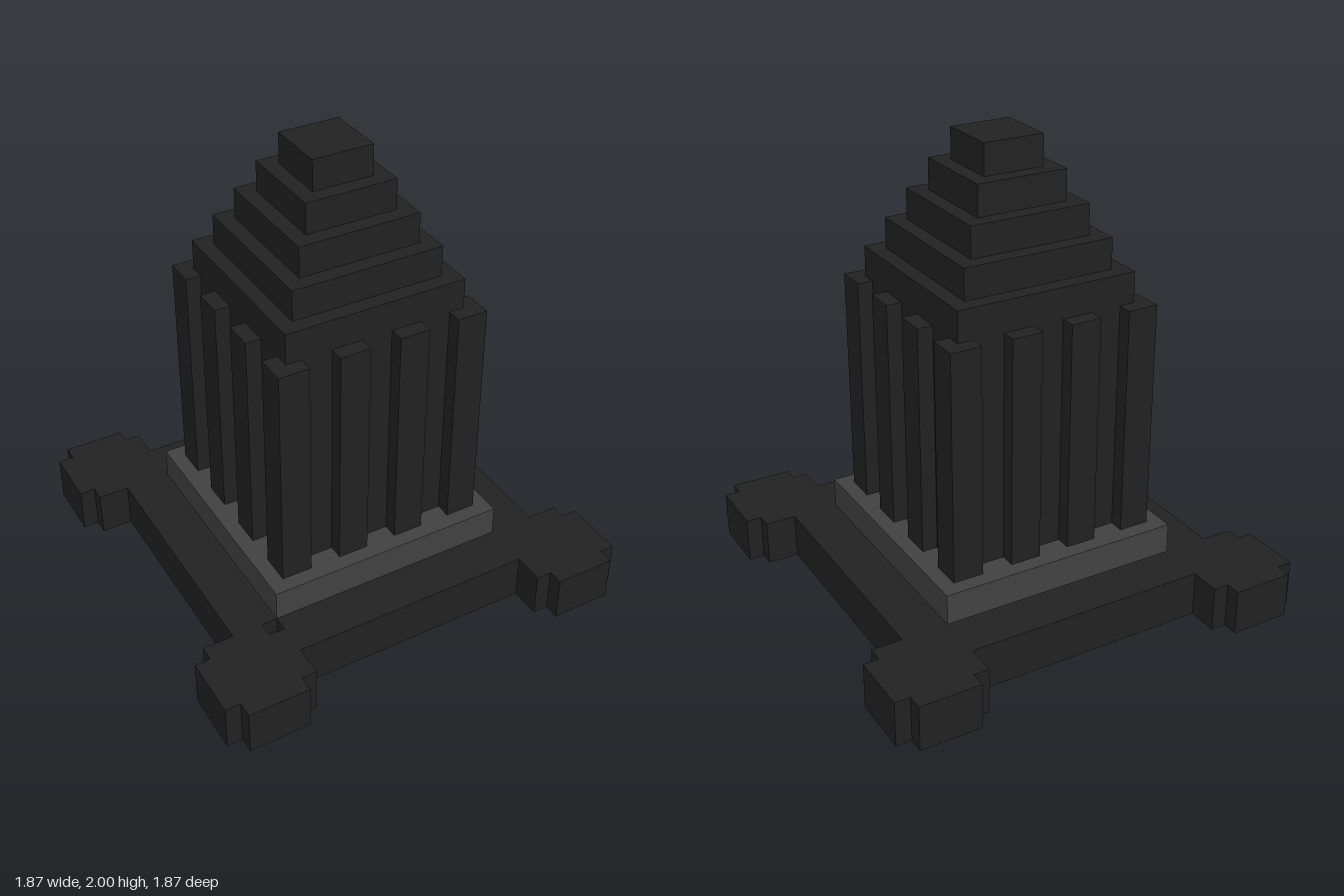
import * as THREE from 'three';

const U = 1 / 15; // one block

export function createModel() {
  const model = new THREE.Group();
  model.name = 'steppedTower';

  const dark = new THREE.MeshStandardMaterial({ color: 0x222222 });
  dark.name = 'dark stone';
  const grey = new THREE.MeshStandardMaterial({ color: 0x424242 });
  grey.name = 'grey stone';

  // Square block: half width, bottom and top in blocks
  function block(name, half, y0, y1, material, x = 0, z = 0) {
    const mesh = new THREE.Mesh(new THREE.BoxGeometry(2 * half * U, (y1 - y0) * U, 2 * half * U), material);
    mesh.position.set(x * U, (y0 + y1) / 2 * U, z * U);
    mesh.name = name;
    model.add(mesh);
  }

  // Base outline: one corner bastion, turned four times
  const corner = [[11, 8], [13, 8], [13, 9], [14, 9], [14, 13], [13, 13], [13, 14], [9, 14], [9, 13], [8, 13], [8, 11]];
  const outline = [];
  for (let turn = 0; turn < 4; turn++) {
    for (const [px, py] of corner) {
      let x = px, y = py;
      for (let i = 0; i < turn; i++) [x, y] = [-y, x];
      outline.push(new THREE.Vector2(x * U, y * U));
    }
  }

  // Base in three layers; the outer two have a one-block pit in one corner
  const pit = [[-9, -9], [-9, -8], [-8, -8], [-8, -9]].map(([x, y]) => new THREE.Vector2(x * U, y * U));
  ['baseBottom', 'baseMiddle', 'baseTop'].forEach((name, i) => {
    const shape = new THREE.Shape(outline);
    if (i !== 1) shape.holes.push(new THREE.Path(pit));
    const geometry = new THREE.ExtrudeGeometry(shape, { depth: U, bevelEnabled: false });
    geometry.rotateX(-Math.PI / 2);
    const layer = new THREE.Mesh(geometry, dark);
    layer.position.y = i * U;
    layer.name = name;
    model.add(layer);
  });

  block('plinth', 8, 3, 5, grey);
  block('towerCore', 6, 5, 22, dark);

  // Pillars around the core
  const spots = [-6, -2, 2, 6];
  for (const x of spots) {
    for (const z of spots) {
      if (Math.abs(x) === 6 || Math.abs(z) === 6) block('pillar', 1, 5, 20, dark, x, z);
    }
  }

  // Stepped roof
  for (let i = 0; i < 4; i++) block('roofStep', 5 - i, 22 + 2 * i, 24 + 2 * i, dark);

  return model;
}
